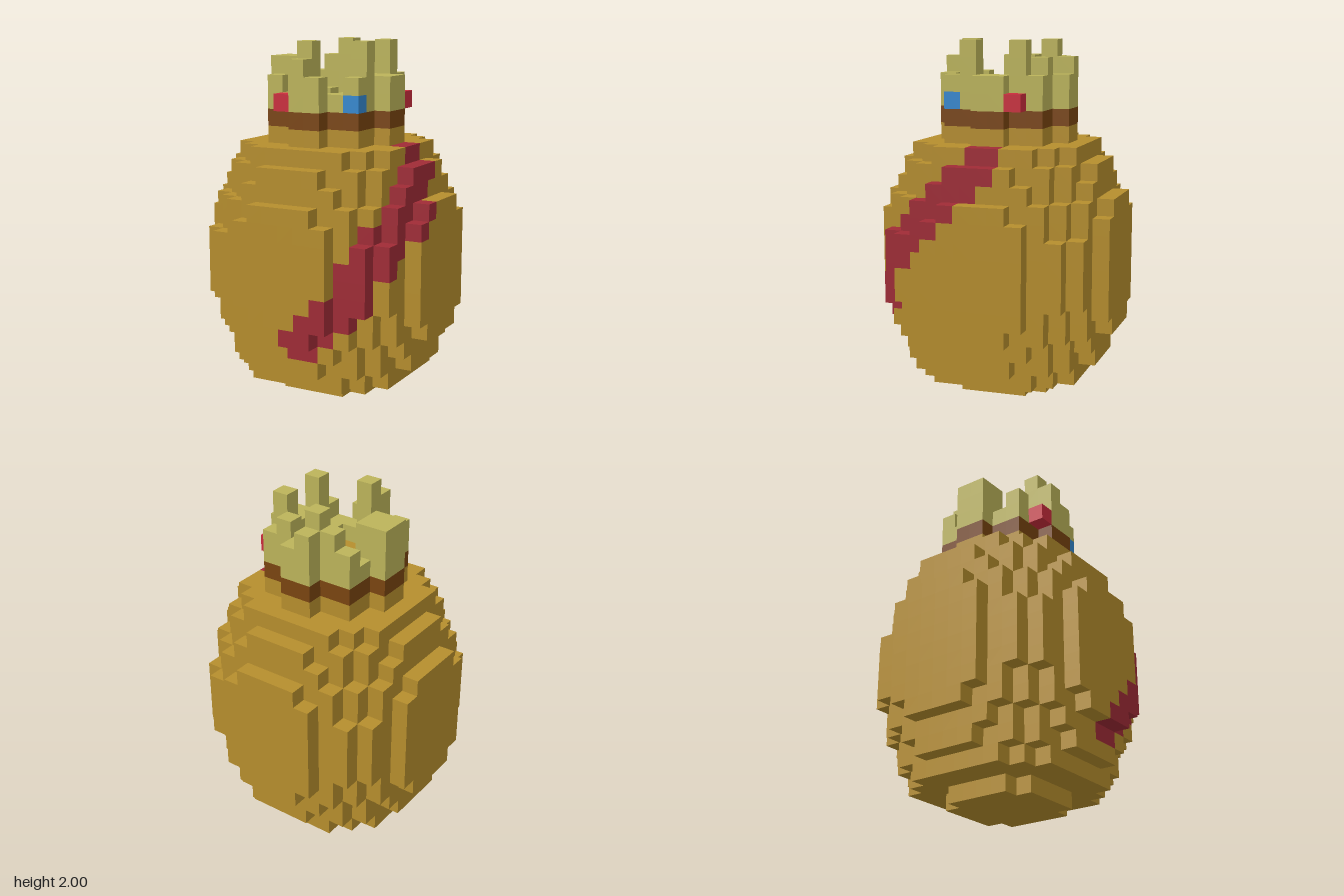
import * as THREE from 'three';

const S = 2 / 21; // edge of one cube; the model is 21 cubes tall

const mat = (name, color) => {
  const m = new THREE.MeshStandardMaterial({ color });
  m.name = name;
  return m;
};

// squared radius of each round body layer, bottom to top, ending in the neck
const half = [10, 27, 33, 38, 46, 49, 51, 52];
const layers = [...half, ...[...half].reverse().slice(0, 7), 13];

// ribbon extent [from, to) in layers: by x on the front, by z on the left side
const frontBand = { 0: [3, 5], 1: [3, 6], 2: [4, 7], 3: [5, 9], 4: [6, 11], 5: [8, 14], 6: [10, 12] };
const sideBand = {
  6: [4, 7], 5: [6, 10], 4: [8, 11], 3: [9, 12], 2: [10, 13], 1: [11, 14], 0: [12, 15], '-1': [13, 15],
};

// top heights of the crown columns; rows run z = -4..3, columns x = -4..3, 0 = open
const crownTops = [
  [0, 0, 0, 20, 19, 0, 0, 0],
  [0, 19, 20, 21, 19, 20, 19, 0],
  [0, 18, 18, 0, 0, 18, 21, 0],
  [20, 20, 0, 0, 0, 0, 19, 19],
  [20, 20, 0, 0, 0, 0, 19, 19],
  [0, 18, 18, 0, 0, 18, 21, 0],
  [0, 19, 18, 21, 18, 18, 19, 0],
  [0, 0, 0, 20, 19, 0, 0, 0],
];

const key = (x, y, z) => `${x},${y},${z}`;

// fill a grid with part names
function fillCells() {
  const cells = new Map();
  const r2 = (x, z) => (x + 0.5) ** 2 + (z + 0.5) ** 2;
  const inBody = (x, y, z) => y >= 0 && y < layers.length && r2(x, z) <= layers[y];
  const within = (range, y) => range && y >= range[0] && y < range[1];

  // body with the diagonal ribbon
  for (let y = 0; y < layers.length; y++)
    for (let x = -7; x < 7; x++)
      for (let z = -7; z < 7; z++) {
        if (!inBody(x, y, z)) continue;
        const front = !inBody(x, y, z + 1) && within(frontBand[x], y);
        const side = x >= 0 && !inBody(x + 1, y, z) && within(sideBand[z], y);
        cells.set(key(x, y, z), (front && z >= -1) || side ? 'ribbon' : 'body');
      }

  // neck band, sack floor and crown
  crownTops.forEach((row, j) => row.forEach((top, i) => {
    const x = i - 4, z = j - 4;
    if (r2(x, z) > 13) return;
    cells.set(key(x, 16, z), top ? 'neckBand' : 'body');
    for (let y = 17; y < top; y++) cells.set(key(x, y, z), 'crown');
  }));

  // gems
  cells.set(key(-2, 17, 3), 'redGems');
  cells.set(key(3, 17, -2), 'redGems');
  cells.set(key(2, 17, 2), 'blueGem');
  return cells;
}

// outer faces of all cubes belonging to one part
function partGeometry(cells, part) {
  const pos = [], nor = [], idx = [];
  for (const [k, name] of cells) {
    if (name !== part) continue;
    const c = k.split(',').map(Number);
    for (let axis = 0; axis < 3; axis++)
      for (const dir of [-1, 1]) {
        const n = [0, 0, 0];
        n[axis] = dir;
        if (cells.has(key(c[0] + n[0], c[1] + n[1], c[2] + n[2]))) continue;
        const u = (axis + 1) % 3, v = (axis + 2) % 3;
        const base = pos.length / 3;
        for (const [a, b] of [[0, 0], [1, 0], [1, 1], [0, 1]]) {
          const p = [...c];
          p[axis] += dir > 0 ? 1 : 0;
          p[u] += a;
          p[v] += b;
          pos.push(p[0] * S, p[1] * S, p[2] * S);
          nor.push(...n);
        }
        const order = dir > 0 ? [0, 1, 2, 0, 2, 3] : [0, 2, 1, 0, 3, 2];
        idx.push(...order.map((o) => base + o));
      }
  }
  const g = new THREE.BufferGeometry();
  g.setAttribute('position', new THREE.Float32BufferAttribute(pos, 3));
  g.setAttribute('normal', new THREE.Float32BufferAttribute(nor, 3));
  g.setIndex(idx);
  return g;
}

export function createModel() {
  const group = new THREE.Group();
  const cells = fillCells();
  const parts = {
    body: mat('gold', 0xb68e2d),
    ribbon: mat('dark red', 0xa02b36),
    neckBand: mat('brown', 0x7a4510),
    crown: mat('pale green', 0xbcb45a),
    redGems: mat('bright red', 0xcb2c3c),
    blueGem: mat('blue', 0x3388d0),
  };
  for (const [name, material] of Object.entries(parts)) {
    const mesh = new THREE.Mesh(partGeometry(cells, name), material);
    mesh.name = name;
    group.add(mesh);
  }
  return group;
}
